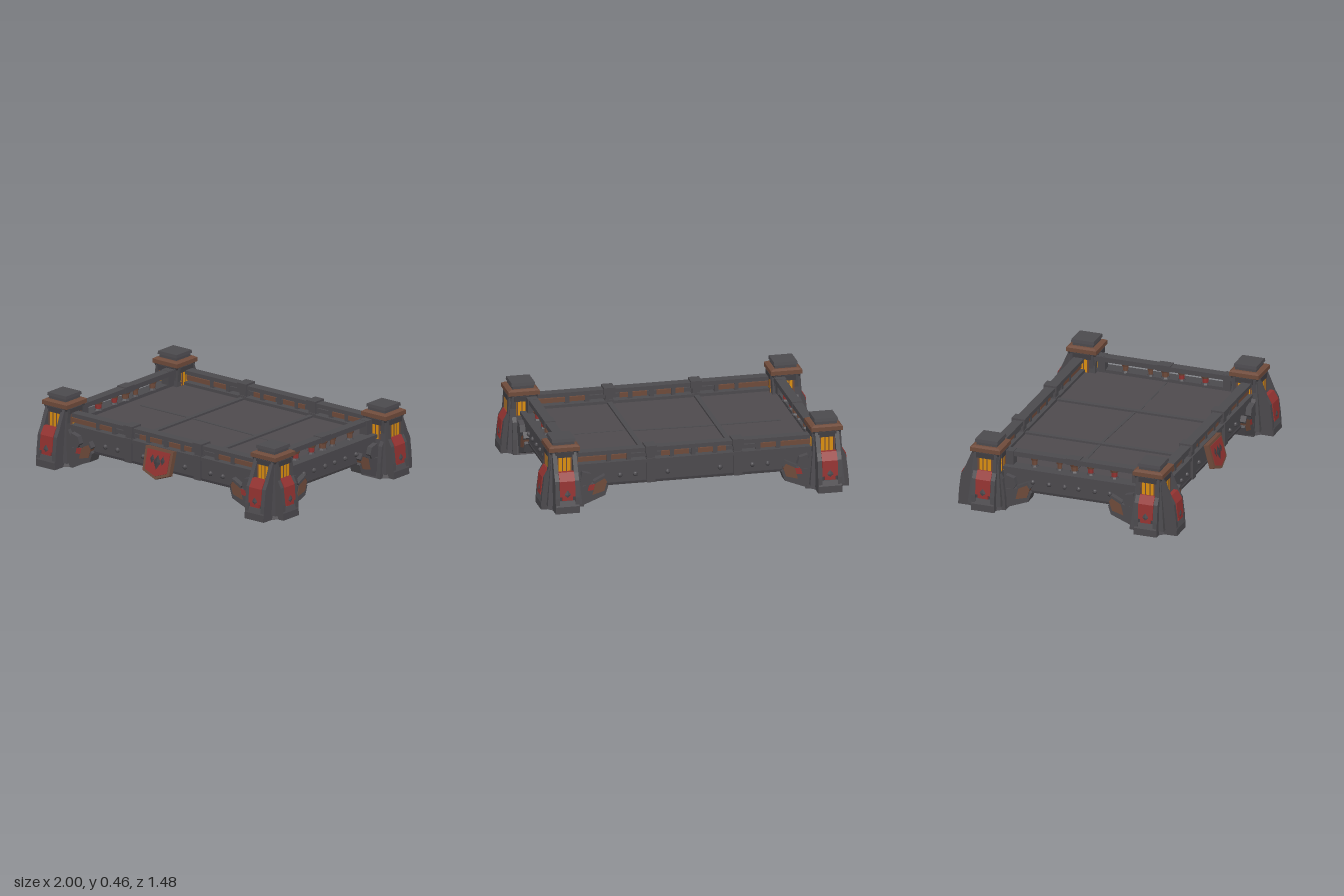
import * as THREE from 'three';

const mat = (name, color) => {
  const m = new THREE.MeshStandardMaterial({ color, flatShading: true });
  m.name = name;
  return m;
};

export function createModel() {
  const iron = mat('iron', 0x4c4a4e);
  const deckPlate = mat('deck plate', 0x4f4a4e);
  const darkIron = mat('dark iron', 0x403e42);
  const rust = mat('rusty bronze', 0x6f4b3b);
  const red = mat('red enamel', 0x943331);
  const amber = mat('amber glow', 0xdc900f);

  const model = new THREE.Group();
  model.name = 'platform';

  const add = (parent, name, geo, material, x = 0, y = 0, z = 0) => {
    const m = new THREE.Mesh(geo, material);
    m.name = name;
    m.position.set(x, y, z);
    parent.add(m);
    return m;
  };
  // Box given by its centre in plan and its bottom and top heights
  const box = (parent, name, material, x, z, w, d, y0, y1) =>
    add(parent, name, new THREE.BoxGeometry(w, y1 - y0, d), material, x, (y0 + y1) / 2, z);
  // Square block that tapers upwards
  const taper = (parent, name, material, half0, half1, y0, y1) => {
    const g = new THREE.CylinderGeometry(half1 * Math.SQRT2, half0 * Math.SQRT2, y1 - y0, 4);
    g.rotateY(Math.PI / 4);
    return add(parent, name, g, material, 0, (y0 + y1) / 2, 0);
  };
  const polygon = (pts) => new THREE.Shape(pts.map(([x, y]) => new THREE.Vector2(x, y)));
  // Side profile (outward, up) extruded to a centred width
  const prism = (parent, name, material, pts, width, offset = 0) => {
    const g = new THREE.ExtrudeGeometry(polygon(pts), { depth: width, bevelEnabled: false });
    g.translate(0, 0, -width / 2);
    return add(parent, name, g, material, 0, 0, offset);
  };
  // Group whose local +x points along (dx, dz)
  const facing = (parent, name, dx, dz, x = 0, z = 0) => {
    const g = new THREE.Group();
    g.name = name;
    g.position.set(x, 0, z);
    g.rotation.y = Math.atan2(-dz, dx);
    parent.add(g);
    return g;
  };

  // One face of a tower: fins, lit window, toe and enamel banner
  const towerFace = (tower, dx, dz, r, outer) => {
    const f = facing(tower, 'towerFace', dx, dz);
    const fin = [[0.04, 0], [r, 0], [r - 0.006, 0.1], [r - 0.02, 0.21], [r - 0.045, 0.255], [0.094, 0.375], [0.04, 0.375]];
    for (const s of [-1, 1]) prism(f, 'fin', iron, fin, 0.028, s * 0.064);
    box(f, 'window', amber, 0.085, 0, 0.02, 0.1, 0.25, 0.345);
    for (const z of [-0.045, 0.045]) box(f, 'windowFrame', rust, 0.094, z, 0.008, 0.01, 0.25, 0.352);
    for (const z of [-0.014, 0.014]) box(f, 'windowBar', rust, 0.094, z, 0.006, 0.006, 0.25, 0.345);
    box(f, 'lintel', darkIron, 0.085, 0, 0.03, 0.12, 0.344, 0.378);
    if (!outer) return;
    prism(f, 'toe', iron, [[0.04, 0], [r, 0], [r, 0.045], [r - 0.012, 0.08], [0.04, 0.105]], 0.15);
    prism(f, 'buttress', darkIron, [[0.04, 0.05], [r - 0.015, 0.05], [r - 0.03, 0.21], [r - 0.058, 0.25], [0.04, 0.25]], 0.1);
    // Banner narrows towards its lower edge
    const banner = facing(f, 'banner', 1, 0);
    prism(banner, 'bannerUpper', red, [[r - 0.03, 0.11], [r - 0.004, 0.11], [r - 0.012, 0.21], [r - 0.044, 0.262], [r - 0.07, 0.262]], 0.1);
    prism(banner, 'bannerTip', red, [[r - 0.03, 0.086], [r - 0.003, 0.086], [r - 0.004, 0.11], [r - 0.03, 0.11]], 0.07);
    const stud = add(f, 'bannerStud', new THREE.OctahedronGeometry(0.028), iron, r - 0.006, 0.122, 0);
    stud.scale.set(0.2, 1.1, 0.9);
  };

  // Sloping brace from a tower foot up to the deck wall
  const brace = (tower, dx, dz, x, z) => {
    const b = facing(tower, 'brace', dx, dz, x, z);
    prism(b, 'strut', iron, [[0.03, 0], [0.13, 0.01], [0.27, 0.065], [0.29, 0.125], [0.25, 0.16], [0.17, 0.14], [0.03, 0.12]], 0.085);
    prism(b, 'strutBand', rust, [[0.185, 0.072], [0.262, 0.094], [0.282, 0.155], [0.264, 0.182], [0.205, 0.148]], 0.092);
    prism(b, 'strutCap', iron, [[0.2, 0.146], [0.264, 0.18], [0.282, 0.153], [0.29, 0.165], [0.268, 0.2], [0.192, 0.162]], 0.098);
    prism(b, 'strutBlock', iron, [[0.1, 0.14], [0.17, 0.14], [0.19, 0.17], [0.175, 0.215], [0.12, 0.23]], 0.095);
    if (dx) prism(b, 'strutPanel', red, [[0.155, 0.1], [0.195, 0.105], [0.21, 0.145], [0.165, 0.14]], 0.089);
  };

  // Corner towers
  for (const sx of [-1, 1]) for (const sz of [-1, 1]) {
    const tower = new THREE.Group();
    tower.name = 'cornerTower';
    tower.position.set(sx * 0.853, 0, sz * 0.55);
    model.add(tower);
    taper(tower, 'towerBody', iron, 0.112, 0.08, 0.03, 0.38);
    const foot = add(tower, 'foot', new THREE.CylinderGeometry(0.11, 0.142, 0.11, 8), iron, 0, 0.055, 0);
    foot.rotation.y = Math.PI / 8;
    towerFace(tower, sx, 0, 0.147, true);
    towerFace(tower, 0, sz, 0.19, true);
    towerFace(tower, -sx, 0, 0.132, false);
    towerFace(tower, 0, -sz, 0.13, false);
    brace(tower, -sx, 0, 0, sz * 0.035);
    brace(tower, 0, -sz, 0, 0);
    // Stacked cap
    taper(tower, 'capNeck', darkIron, 0.088, 0.094, 0.365, 0.385);
    taper(tower, 'capSlab', rust, 0.101, 0.101, 0.383, 0.41);
    taper(tower, 'capBevel', rust, 0.101, 0.084, 0.41, 0.42);
    taper(tower, 'capBlock', iron, 0.07, 0.07, 0.42, 0.442);
    taper(tower, 'capTop', iron, 0.078, 0.075, 0.44, 0.46);
  }

  // Deck
  box(model, 'deck', deckPlate, 0, 0, 1.62, 1.1, 0.122, 0.255);
  for (const x of [-0.285, 0.28]) box(model, 'deckBeam', iron, x, 0, 0.032, 1.1, 0.25, 0.268);
  box(model, 'deckSeam', iron, -0.5, -0.025, 0.4, 0.02, 0.252, 0.259);
  const seam = box(model, 'deckSeam', iron, 0, -0.015, 0.54, 0.02, 0.252, 0.259);
  seam.rotation.y = -0.04;
  box(model, 'deckSeam', iron, 0.54, 0.015, 0.5, 0.012, 0.252, 0.257);

  const rivet = new THREE.SphereGeometry(0.016, 8, 6);

  // Front and back walls with railings
  for (const s of [-1, 1]) {
    const w = new THREE.Group();
    w.name = s > 0 ? 'frontWall' : 'backWall';
    model.add(w);
    box(w, 'wallPanel', iron, 0, s * 0.565, 1.56, 0.06, 0.122, 0.27);
    box(w, 'wallTopFlange', iron, 0, s * 0.567, 1.56, 0.08, 0.252, 0.274);
    box(w, 'wallBottomFlange', darkIron, 0, s * 0.57, 1.4, 0.065, 0.12, 0.135);
    box(w, 'handrail', iron, 0, s * 0.567, 1.56, 0.066, 0.324, 0.35);
    box(w, 'lowerRail', iron, 0, s * 0.567, 1.56, 0.03, 0.286, 0.312);
    for (const x of [-0.285, 0.28]) {
      box(w, 'postBase', iron, x, s * 0.57, 0.055, 0.085, 0.12, 0.28);
      box(w, 'post', iron, x, s * 0.568, 0.05, 0.07, 0.27, 0.33);
      box(w, 'postCap', iron, x, s * 0.567, 0.072, 0.09, 0.315, 0.362);
    }
    // Bronze sleeves under the handrail
    for (const [x, len] of [[-0.6, 0.34], [-0.12, 0.18], [0.12, 0.18], [0.6, 0.34]])
      box(w, 'railSleeve', rust, x, s * 0.567, len, 0.036, 0.284, 0.314);
    for (const x of [-0.55, -0.42, -0.14, 0, 0.14, 0.42, 0.55])
      box(w, 'baluster', iron, x, s * 0.567, 0.028, 0.04, 0.27, 0.33);
    for (const x of [-0.48, -0.38, -0.17, 0.17, 0.38, 0.48])
      add(w, 'rivet', rivet, iron, x, 0.18, s * 0.596);
  }

  // Side walls with railings and turned balusters
  for (const s of [-1, 1]) {
    const w = new THREE.Group();
    w.name = s > 0 ? 'leftWall' : 'rightWall';
    model.add(w);
    box(w, 'wallPanel', iron, s * 0.835, 0, 0.06, 0.92, 0.124, 0.27);
    box(w, 'wallTopFlange', iron, s * 0.835, 0, 0.09, 0.92, 0.258, 0.279);
    box(w, 'wallBottomFlange', darkIron, s * 0.838, 0, 0.065, 0.7, 0.122, 0.136);
    box(w, 'handrail', iron, s * 0.803, 0, 0.062, 0.92, 0.338, 0.37);
    box(w, 'railCentre', iron, s * 0.803, 0, 0.07, 0.09, 0.335, 0.376);
    for (const z of [-0.425, 0.425]) box(w, 'endPost', iron, s * 0.81, z, 0.06, 0.05, 0.27, 0.372);
    for (const [z, m, k] of [[-0.27, rust, 1], [-0.1, rust, 0.9], [0, rust, 1.25], [0.11, red, 1], [0.27, red, 1.1]]) {
      add(w, 'baluster', new THREE.CylinderGeometry(0.02 * k, 0.017 * k, 0.06, 8), m, s * 0.806, 0.308, z);
      add(w, 'balusterCollar', new THREE.CylinderGeometry(0.029 * k, 0.023 * k, 0.018, 8), rust, s * 0.806, 0.33, z);
      add(w, 'balusterFoot', new THREE.CylinderGeometry(0.02 * k, 0.026 * k, 0.012, 8), iron, s * 0.806, 0.284, z);
    }
    for (const z of [-0.26, -0.15, -0.045, 0.05, 0.16, 0.26])
      add(w, 'rivet', rivet, iron, s * 0.866, 0.192, z);
  }

  // Tilted shield plaque at the front
  const shield = new THREE.Group();
  shield.name = 'shield';
  shield.position.set(0, 0.272, 0.608);
  shield.rotation.x = -0.25;
  model.add(shield);
  const outline = (k) => polygon([[-0.113, 0], [-0.109, -0.16], [0, -0.2], [0.109, -0.16], [0.113, 0]]
    .map(([x, y]) => [x * k, (y + 0.095) * k - 0.095]));
  const plate = (name, k, depth, material, z) =>
    add(shield, name, new THREE.ExtrudeGeometry(outline(k), { depth, bevelEnabled: false }), material, 0, 0, z);
  plate('shieldFrame', 1, 0.034, rust, 0);
  plate('shieldFace', 0.82, 0.004, red, 0.034);
  // Row of diamond studs on the shield
  for (const [x, y, k] of [[-0.042, -0.075, 0.6], [0, -0.09, 1], [0.042, -0.075, 0.6]]) {
    const stud = add(shield, 'shieldStud', new THREE.OctahedronGeometry(0.042 * k), darkIron, x, y, 0.038);
    stud.scale.set(0.7, 1.15, 0.12);
  }

  return model;
}
